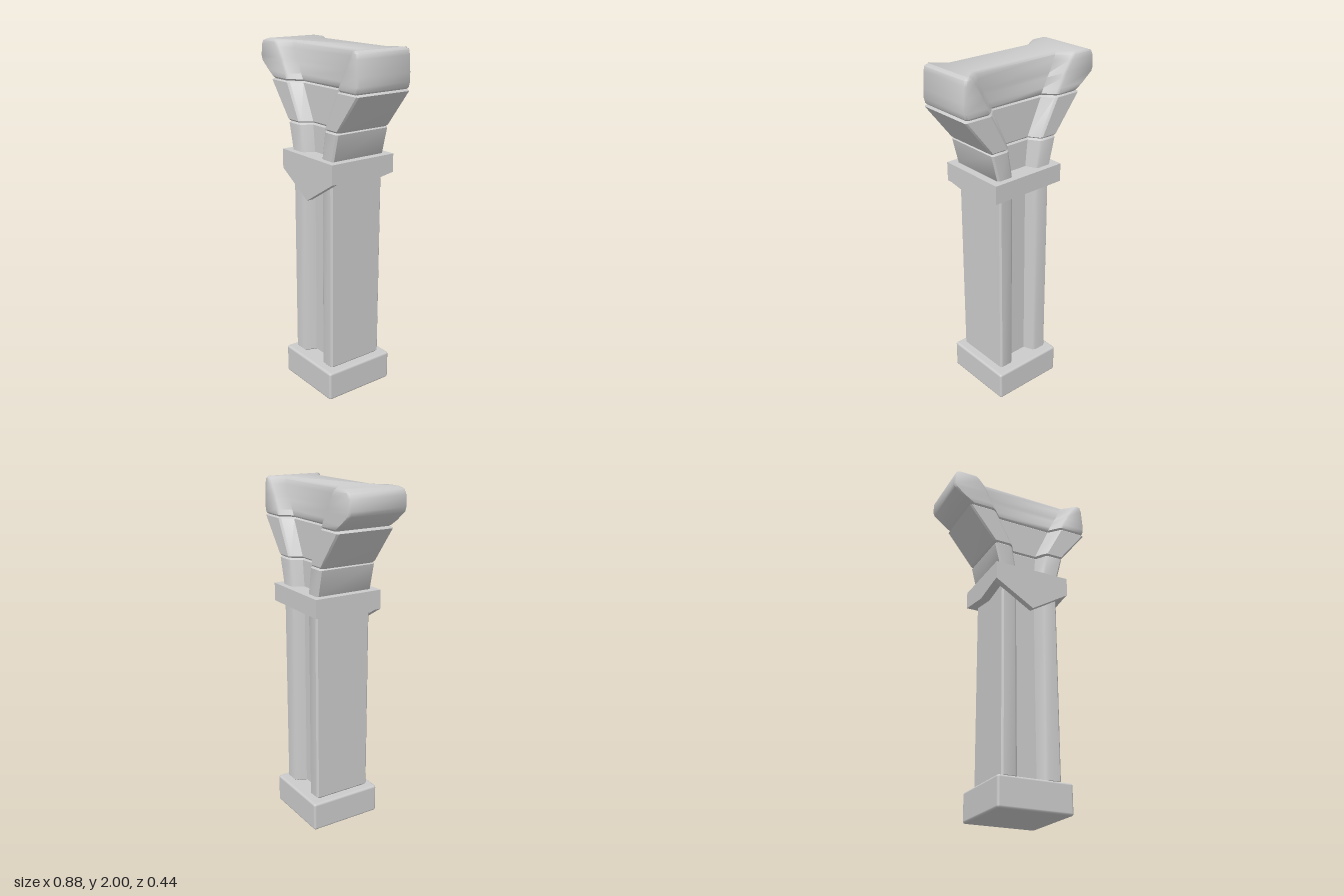
import * as THREE from 'three';
import { toCreasedNormals } from 'three/addons/utils/BufferGeometryUtils.js';
import { RoundedBoxGeometry } from 'three/addons/geometries/RoundedBoxGeometry.js';

const material = new THREE.MeshStandardMaterial({ color: 0xcccccc });
const CX = 0.05; // axis of the shaft
const DEPTH = 0.176, GROOVE = 0.11, CHAMFER = 0.01;

// Outline with a flared groove in the front and the back; points are [x, z].
function section({ x0, x1, floor, lip, inset = 0 }) {
  const c = CHAMFER, z = DEPTH - inset, g = GROOVE - inset;
  const l = x0 + inset, r = x1 - inset, f = floor + inset, o = lip + inset;
  const front = [
    [l, z - c], [l + c, z],
    [CX - o - c, z], [CX - o + c * 0.5, z - c], [CX - f, g],
    [CX + f, g], [CX + o - c * 0.5, z - c], [CX + o + c, z],
    [r - c, z], [r, z - c],
  ];
  return [...front, ...front.map(([x, zz]) => [x, -zz]).reverse()];
}

// Skin a stack of grooved sections and close both ends.
function loft(levels, crease) {
  const rings = levels.map(section), n = rings[0].length;
  const positions = [], indices = [];
  rings.forEach((ring, k) => ring.forEach(([x, z]) => positions.push(x, levels[k].y, z)));
  for (let k = 0; k < rings.length - 1; k++) {
    for (let i = 0; i < n; i++) {
      const a = k * n + i, b = k * n + (i + 1) % n;
      indices.push(a, b, b + n, a, b + n, a + n);
    }
  }
  const cap = (ring, start, flip) => {
    const pts = ring.map(([x, z]) => new THREE.Vector2(x, -z));
    for (const [a, b, c] of THREE.ShapeUtils.triangulateShape(pts, [])) {
      indices.push(start + a, start + (flip ? c : b), start + (flip ? b : c));
    }
  };
  cap(rings[0], 0, true);
  cap(rings[rings.length - 1], (rings.length - 1) * n, false);
  const geometry = new THREE.BufferGeometry();
  geometry.setAttribute('position', new THREE.Float32BufferAttribute(positions, 3));
  geometry.setIndex(indices);
  return toCreasedNormals(geometry, crease);
}

// A straight or tapered block with bevelled ends.
function block(bottom, top, bevel = 0.01) {
  return loft([
    { ...bottom, inset: bevel },
    { ...bottom, y: bottom.y + bevel },
    { ...top, y: top.y - bevel },
    { ...top, inset: bevel },
  ], 0.6);
}

function extrude(points, depth) {
  const shape = new THREE.Shape(points.map(([x, y]) => new THREE.Vector2(x, y)));
  return new THREE.ExtrudeGeometry(shape, { depth, bevelEnabled: false });
}

export function createModel() {
  const group = new THREE.Group();
  const add = (name, geometry) => {
    const mesh = new THREE.Mesh(geometry, material);
    mesh.name = name;
    group.add(mesh);
    return mesh;
  };

  // Plinth
  add('base', new RoundedBoxGeometry(0.44, 0.172, 0.442, 2, 0.014)).position.set(CX, 0.086, -0.002);

  // Grooved shaft, running up into the collar
  add('shaft', block(
    { y: 0.17, x0: -0.126, x1: 0.226, floor: 0.06, lip: 0.09 },
    { y: 1.4, x0: -0.126, x1: 0.226, floor: 0.06, lip: 0.09 }, 0.014));

  // Collar, its sides dipping to a shallow point
  const collar = extrude([
    [-0.21, 1.305], [0, 1.27], [0.21, 1.305], [0.21, 1.41], [-0.21, 1.41],
  ], 0.46);
  collar.rotateY(Math.PI / 2);
  add('collar', collar).position.x = CX - 0.23;

  // Pointed plate on the front of the collar
  add('collarPoint', extrude([
    [-0.23, 1.3], [0, 1.16], [0.23, 1.3], [0.23, 1.41], [-0.23, 1.41],
  ], 0.037)).position.set(CX, 0, 0.175);

  // Two flaring courses of the capital
  add('lowerCapital', block(
    { y: 1.4, x0: -0.135, x1: 0.235, floor: 0.06, lip: 0.09 },
    { y: 1.57, x0: -0.171, x1: 0.273, floor: 0.075, lip: 0.115 }));
  add('upperCapital', block(
    { y: 1.568, x0: -0.18, x1: 0.28, floor: 0.075, lip: 0.115 },
    { y: 1.788, x0: -0.336, x1: 0.437, floor: 0.165, lip: 0.22 }));

  // Worn top block, undercut on one end
  add('topBlock', loft([
    { y: 1.784, x0: -0.315, x1: 0.43, floor: 0.165, lip: 0.22, inset: 0.01 },
    { y: 1.796, x0: -0.325, x1: 0.433, floor: 0.17, lip: 0.225 },
    { y: 1.825, x0: -0.37, x1: 0.441, floor: 0.185, lip: 0.24 },
    { y: 1.875, x0: -0.434, x1: 0.44, floor: 0.21, lip: 0.27 },
    { y: 1.9, x0: -0.443, x1: 0.438, floor: 0.225, lip: 0.28 },
    { y: 1.96, x0: -0.439, x1: 0.434, floor: 0.25, lip: 0.32 },
    { y: 1.988, x0: -0.427, x1: 0.43, floor: 0.262, lip: 0.335, inset: 0.002 },
    { y: 2.0, x0: -0.405, x1: 0.42, floor: 0.265, lip: 0.335, inset: 0.012 },
  ], 0.9));

  return group;
}
